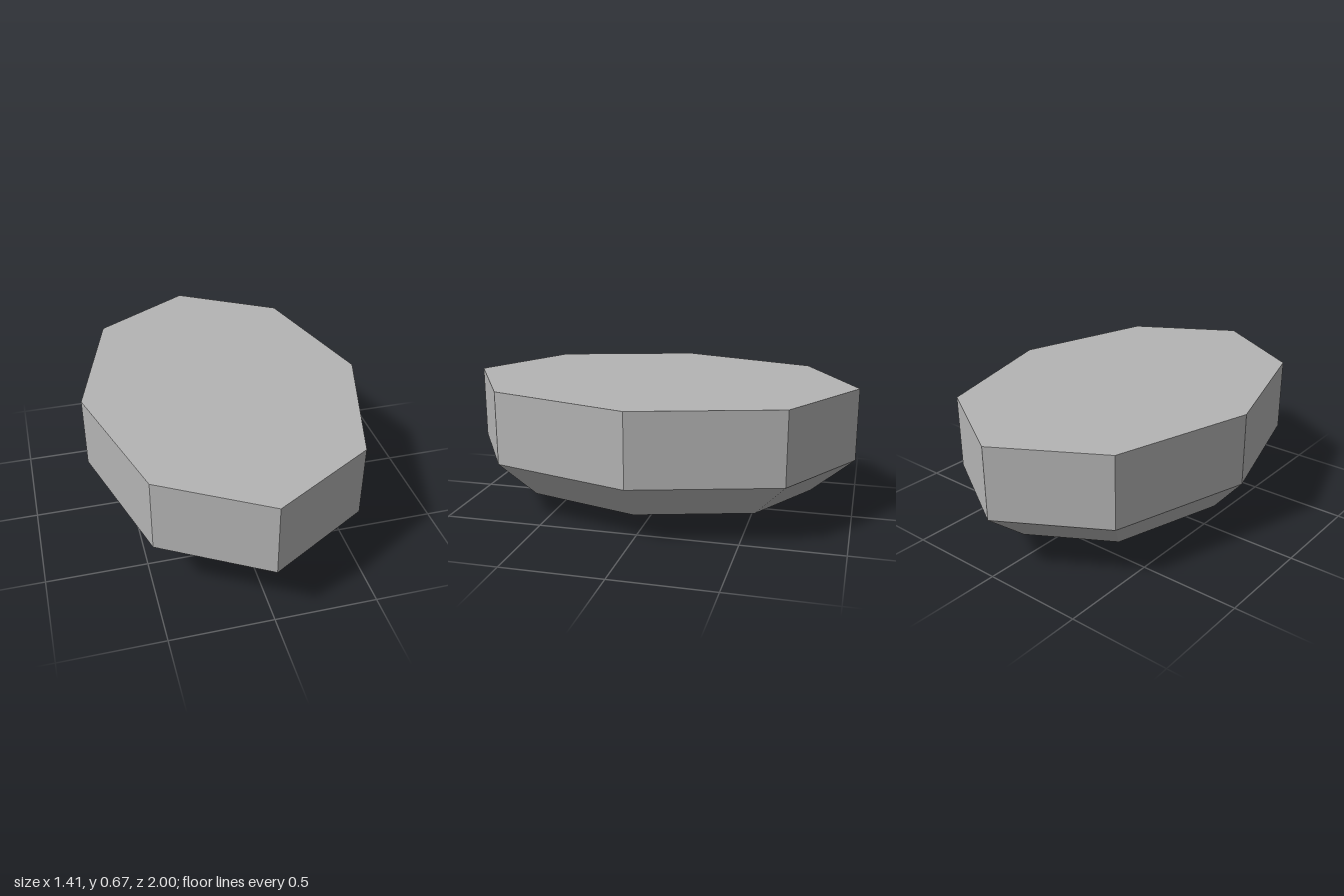
import * as THREE from 'three';

const WIDTH = 0.705; // width relative to length
const BASE_SHIFT = { x: -0.02, z: -0.025 }; // the small base sits off centre

export function createModel() {
  const stone = new THREE.MeshStandardMaterial({ color: 0xb4b4b4, flatShading: true });
  stone.name = 'grey stone';

  // Eight-sided bands stacked from the base to the flat top: [radius, height]
  const profile = [[0, 0], [0.24, 0], [0.787, 0.125], [1, 0.302], [1, 0.67], [0, 0.67]]
    .map(([r, y]) => new THREE.Vector2(r, y));
  const geometry = new THREE.LatheGeometry(profile, 8).toNonIndexed();

  // Squeeze into an oval and slide the base ring
  const pos = geometry.attributes.position;
  for (let i = 0; i < pos.count; i++) {
    const atBase = pos.getY(i) < 0.001;
    pos.setX(i, pos.getX(i) * WIDTH + (atBase ? BASE_SHIFT.x : 0));
    pos.setZ(i, pos.getZ(i) + (atBase ? BASE_SHIFT.z : 0));
  }
  geometry.computeVertexNormals();

  const slab = new THREE.Mesh(geometry, stone);
  slab.name = 'stoneSlab';

  const group = new THREE.Group();
  group.name = 'floatingPlatform';
  group.add(slab);
  return group;
}
